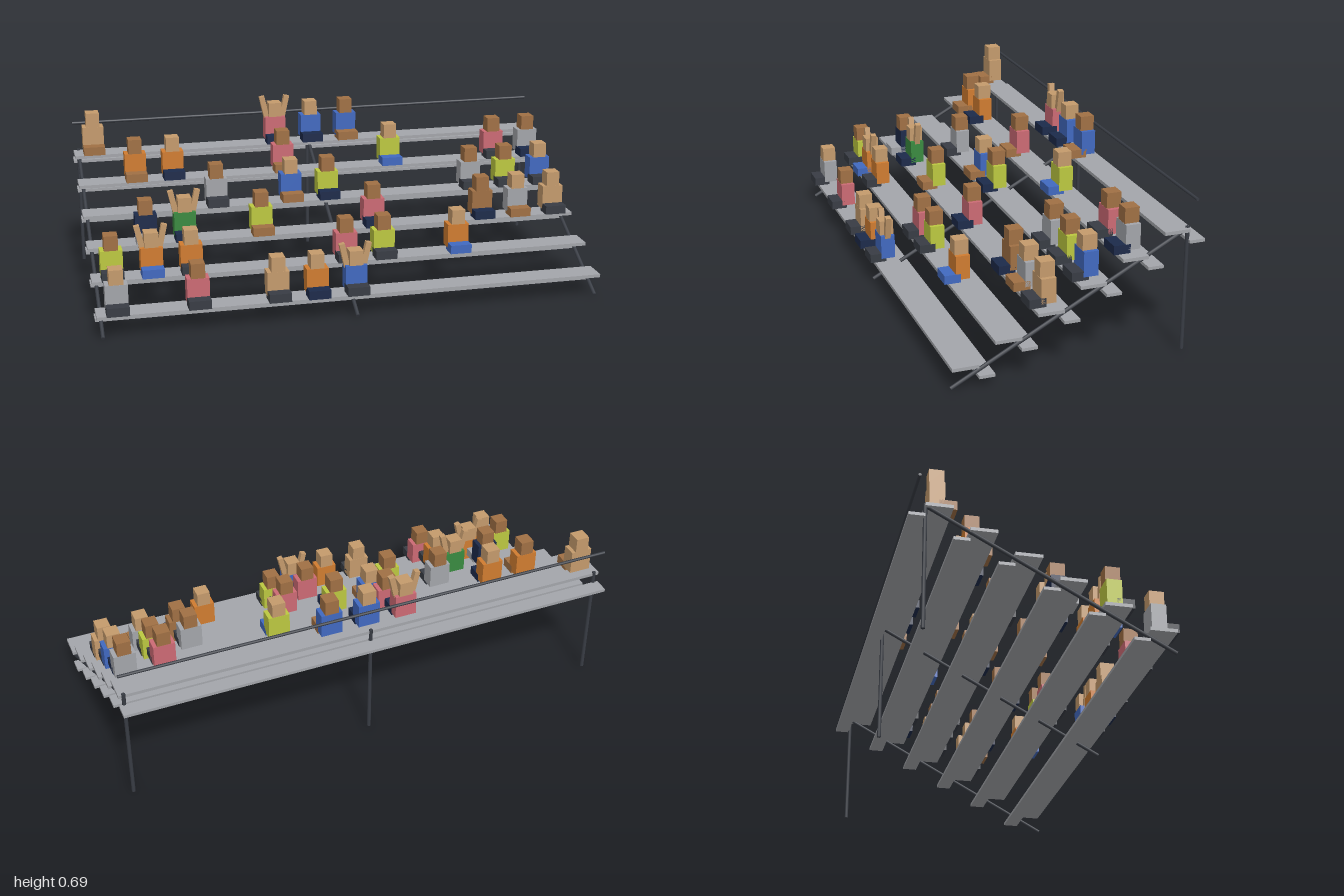
import * as THREE from 'three';

const COLORS = {
  gray: 0xa3a5aa, charcoal: 0x383c44, tan: 0xc49a6c, brown: 0xa07044, blue: 0x4169c0,
  orange: 0xd07c30, lime: 0xbcc840, pink: 0xcc6a74, navy: 0x1c2a4a, green: 0x3a8a40,
};

// Spectators per row, front row first: [slot, top, legs, skin, arms raised]
const ROWS = [
  [[-6, 'gray', 'charcoal', 'tan'], [-4, 'pink', 'charcoal', 'brown'], [-2, 'tan', 'charcoal', 'tan'],
    [-1, 'orange', 'navy', 'tan'], [0, 'blue', 'charcoal', 'tan', true]],
  [[-6, 'lime', 'charcoal', 'brown'], [-5, 'orange', 'blue', 'tan', true], [-4, 'orange', 'charcoal', 'tan'],
    [0, 'pink', 'charcoal', 'brown'], [1, 'lime', 'charcoal', 'brown'], [3, 'orange', 'blue', 'tan']],
  [[-5, 'navy', 'gray', 'brown'], [-4, 'green', 'navy', 'tan', true], [-2, 'lime', 'brown', 'brown'],
    [1, 'pink', 'navy', 'brown'], [4, 'brown', 'navy', 'brown'], [5, 'gray', 'brown', 'tan'],
    [6, 'tan', 'charcoal', 'tan']],
  [[-3, 'gray', 'charcoal', 'brown'], [-1, 'blue', 'brown', 'tan'], [0, 'lime', 'navy', 'brown'],
    [4, 'gray', 'charcoal', 'brown'], [5, 'lime', 'charcoal', 'brown'], [6, 'blue', 'charcoal', 'tan']],
  [[-5, 'orange', 'brown', 'brown'], [-4, 'orange', 'navy', 'tan'], [-1, 'pink', 'brown', 'brown'],
    [2, 'lime', 'blue', 'tan'], [5, 'pink', 'charcoal', 'brown'], [6, 'gray', 'navy', 'brown']],
  [[-6, 'tan', 'brown', 'tan'], [-1, 'pink', 'navy', 'tan', true], [0, 'blue', 'navy', 'tan'],
    [1, 'blue', 'brown', 'brown']],
];

export function createModel() {
  const model = new THREE.Group();
  model.name = 'bleachers';
  const mats = {};
  for (const [name, color] of Object.entries(COLORS)) {
    mats[name] = new THREE.MeshStandardMaterial({ color });
    mats[name].name = name;
  }

  const add = (parent, name, geo, color, x, y, z) => {
    const mesh = new THREE.Mesh(geo, mats[color]);
    mesh.name = name;
    mesh.position.set(x, y, z);
    parent.add(mesh);
    return mesh;
  };
  // Round bar between two points
  const bar = (name, a, b, r) => {
    const from = new THREE.Vector3(...a), to = new THREE.Vector3(...b);
    const dir = to.clone().sub(from);
    const mesh = add(model, name, new THREE.CylinderGeometry(r, r, dir.length(), 10), 'charcoal', 0, 0, 0);
    mesh.position.copy(from).lerp(to, 0.5);
    mesh.quaternion.setFromUnitVectors(new THREE.Vector3(0, 1, 0), dir.normalize());
  };

  // Frame: sloping stringers, rear posts and back rail
  for (const x of [-0.98, 0, 0.98]) {
    bar('stringer', [x, 0.008, 0.47], [x, 0.491, -0.43], 0.0075);
    bar('rearPost', [x, 0.01, -0.428], [x, 0.497, -0.428], 0.0075);
  }
  bar('backRail', [-1, 0.603, -0.452], [1, 0.603, -0.452], 0.006);

  const seatGeo = new THREE.BoxGeometry(2, 0.013, 0.1);
  const footGeo = new THREE.BoxGeometry(2, 0.012, 0.06);
  const torsoGeo = new THREE.BoxGeometry(0.086, 0.096, 0.057);
  const legsGeo = new THREE.BoxGeometry(0.086, 0.035, 0.065);
  const headGeo = new THREE.BoxGeometry(0.054, 0.06, 0.056);
  const armGeo = new THREE.BoxGeometry(0.022, 0.096, 0.023);

  // Rows of seat planks, footboards and seated spectators
  ROWS.forEach((people, i) => {
    const y = 0.08 * i, z = 0.42 - 0.16 * i;
    add(model, 'seatPlank', seatGeo, 'gray', 0, y + 0.0865, z);
    add(model, 'footboard', footGeo, 'gray', 0, y + 0.042, z - 0.08);
    for (const [slot, top, legs, skin, armsUp] of people) {
      const person = new THREE.Group();
      person.name = 'spectator';
      person.position.set(slot * 0.1535, y, z - 0.003);
      model.add(person);
      add(person, 'torso', torsoGeo, top, 0, 0.157, 0);
      add(person, 'legs', legsGeo, legs, 0, 0.1145, 0.041);
      add(person, 'head', headGeo, skin, 0, 0.234, 0);
      if (!armsUp) continue;
      for (const side of [-1, 1]) {
        add(person, 'raisedArm', armGeo, skin, side * 0.043, 0.243, 0).rotation.z = -side * 0.22;
      }
    }
  });
  return model;
}
